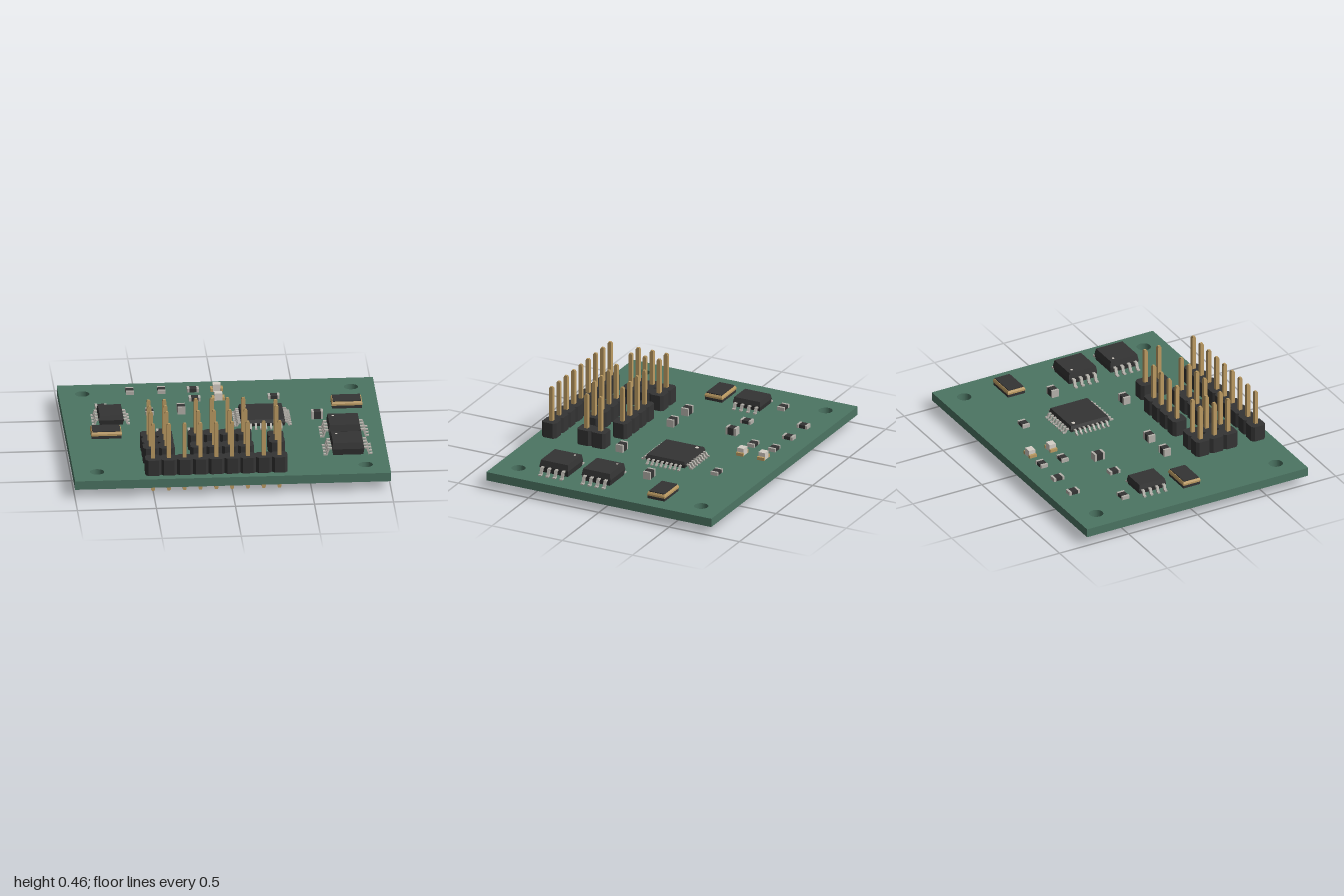
import * as THREE from 'three';
import { mergeGeometries } from 'three/addons/utils/BufferGeometryUtils.js';

const TOP = 0.117; // upper face of the board

const mat = (name, color) => {
  const m = new THREE.MeshStandardMaterial({ color });
  m.name = name;
  return m;
};

export function createModel() {
  const green = mat('board green', 0x4c7563);
  const black = mat('plastic black', 0x343434);
  const gold = mat('contact gold', 0xbd9c63);
  const silver = mat('solder silver', 0xb5b2ab);
  const white = mat('lamp white', 0xd6cfc6);

  const model = new THREE.Group();
  model.name = 'circuitBoard';

  const add = (parent, name, geos, material) => {
    const mesh = new THREE.Mesh(Array.isArray(geos) ? mergeGeometries(geos) : geos, material);
    mesh.name = name;
    parent.add(mesh);
    return mesh;
  };
  const group = (name, x, z, turn = 0) => {
    const g = new THREE.Group();
    g.name = name;
    g.position.set(x, TOP, z);
    g.rotation.y = turn;
    model.add(g);
    return g;
  };
  // Box standing on height y
  const box = (w, h, d, x = 0, y = 0, z = 0) =>
    new THREE.BoxGeometry(w, h, d).translate(x, y + h / 2, z);
  // Rectangular block with a belt, drawn in at its top and bottom
  const tapered = (w, h, d, topInset, bottomInset, y = 0) => {
    const g = new THREE.BoxGeometry(w, h, d, 1, 2, 1);
    const p = g.attributes.position;
    for (let i = 0; i < p.count; i++) {
      const inset = p.getY(i) > 0.001 ? topInset : p.getY(i) < -0.001 ? bottomInset : 0;
      p.setX(i, p.getX(i) - Math.sign(p.getX(i)) * inset);
      p.setZ(i, p.getZ(i) - Math.sign(p.getZ(i)) * inset);
    }
    const flat = g.toNonIndexed().translate(0, y + h / 2, 0);
    flat.computeVertexNormals();
    return flat;
  };

  // Board with four mounting holes
  const outline = new THREE.Shape();
  outline.moveTo(-1, -0.8).lineTo(1, -0.8).lineTo(1, 0.8).lineTo(-1, 0.8).closePath();
  for (const x of [-0.85, 0.85]) for (const z of [-0.65, 0.65]) {
    const hole = new THREE.Path();
    hole.absarc(x, z, 0.045, 0, Math.PI * 2, true);
    outline.holes.push(hole);
  }
  const boardGeo = new THREE.ExtrudeGeometry(outline, { depth: 0.057, bevelEnabled: false, curveSegments: 24 });
  add(model, 'board', boardGeo.rotateX(-Math.PI / 2).translate(0, 0.06, 0), green);

  // Pin headers: one chamfered block and one pin per cell
  const c = 0.05, k = 0.033;
  const cell = new THREE.Shape([[-c, -k], [-k, -c], [k, -c], [c, -k], [c, k], [k, c], [-k, c], [-c, k]]
    .map(([x, y]) => new THREE.Vector2(x, y)));
  const cellGeo = new THREE.ExtrudeGeometry(cell, { depth: 0.103, bevelEnabled: false }).rotateX(-Math.PI / 2);
  const pinGeo = () => {
    const g = new THREE.BoxGeometry(0.025, 0.455, 0.025, 1, 40, 1).translate(0, 0.2275 - TOP, 0);
    const p = g.attributes.position;
    for (let i = 0; i < p.count; i++) {
      const y = p.getY(i) + TOP;
      if (y < 0.001 || y > 0.454) p.setXYZ(i, p.getX(i) * 0.6, p.getY(i), p.getZ(i) * 0.6);
    }
    return g;
  };
  const header = (name, x0, z0, nx, nz) => {
    const g = group(name, x0, z0);
    const cells = [], pins = [];
    for (let i = 0; i < nx; i++) for (let j = 0; j < nz; j++) {
      cells.push(cellGeo.clone().translate(i * 0.1, 0.003, j * 0.1));
      pins.push(pinGeo().translate(i * 0.1, 0, j * 0.1));
    }
    add(g, 'headerBody', cells, black);
    add(g, 'headerPins', pins, gold);
  };
  header('frontHeader', -0.5, 0.7, 9, 1);
  header('doubleHeader', -0.5, 0.3, 2, 3);
  header('middleHeaderBack', -0.2, 0.3, 4, 1);
  header('middleHeaderFront', -0.2, 0.5, 4, 1);
  header('sideHeader', 0.3, 0.35, 1, 2);

  // Bent chip lead pointing along +x, starting at x = 0
  const lead = (reach, rise, width) => {
    const t = 0.009, a = reach * 0.35, b = reach * 0.6;
    const s = new THREE.Shape([[-0.01, rise], [a - t / 2, rise], [b - t / 2, 0], [reach, 0],
      [reach, t], [b + t / 2, t], [a + t / 2, rise + t], [-0.01, rise + t]]
      .map(([x, y]) => new THREE.Vector2(x, y)));
    return new THREE.ExtrudeGeometry(s, { depth: width, bevelEnabled: false }).translate(0, 0, -width / 2);
  };
  const chip = (name, x, z, o) => {
    const g = group(name, x, z);
    add(g, 'chipBody', tapered(o.w, o.h - 0.006, o.d, 0.007, 0.007, 0.006), black);
    const leads = [];
    for (let side = 0; side < 4; side += o.sides === 4 ? 1 : 2) {
      for (let i = 0; i < o.n; i++) {
        leads.push(lead(o.reach, o.rise, o.lw)
          .translate((side % 2 ? o.d : o.w) / 2, 0, (i - (o.n - 1) / 2) * o.pitch)
          .rotateY(side * Math.PI / 2));
      }
    }
    add(g, 'chipLeads', leads, silver);
    if (o.dot) {
      add(g, 'pinOneMark', new THREE.CylinderGeometry(o.dot, o.dot, 0.002, 16)
        .translate(-o.w / 2 + 0.037, o.h + 0.001, -o.d / 2 + 0.04), white);
    }
  };
  chip('processor', 0.25, -0.155, { w: 0.28, d: 0.28, h: 0.05, sides: 4, n: 8, pitch: 0.032, reach: 0.042, rise: 0.02, lw: 0.013, dot: 0.012 });
  const driver = { w: 0.205, d: 0.205, h: 0.087, sides: 2, n: 4, pitch: 0.05, reach: 0.052, rise: 0.04, lw: 0.019, dot: 0.008 };
  chip('driverBack', 0.75, 0.097, driver);
  chip('driverFront', 0.75, 0.397, driver);
  chip('regulator', -0.705, -0.205, { w: 0.16, d: 0.195, h: 0.07, sides: 2, n: 4, pitch: 0.05, reach: 0.04, rise: 0.03, lw: 0.018 });

  // Crystals: dark base, gold rim, dark lid
  for (const [x, z] of [[0.8, -0.353], [-0.75, 0.045]]) {
    const g = group('crystal', x, z);
    add(g, 'crystalBase', box(0.19, 0.021, 0.12), black);
    add(g, 'crystalRim', tapered(0.195, 0.024, 0.125, 0.005, 0, 0.02), gold);
    add(g, 'crystalLid', box(0.178, 0.006, 0.108, 0, 0.044), black);
  }

  // Small two-ended parts: body between a pair of end caps
  const passive = (name, x, z, h, upright, body, ends) => {
    const g = group(name, x, z, upright ? Math.PI / 2 : 0);
    add(g, 'body', box(0.046, h - 0.002, 0.048, 0, 0.001), body);
    add(g, 'endCaps', [-1, 1].map(s => box(0.015, h, 0.05, s * 0.0295)), ends);
  };
  for (const [x, z, upright] of [[-0.55, -0.65, true], [-0.35, -0.65, true], [-0.15, -0.65], [-0.15, -0.5],
    [0.35, -0.5], [-0.75, -0.4], [-0.45, -0.3, true]]) {
    passive('resistor', x, z, 0.024, upright, black, silver);
  }
  for (const [x, z, upright] of [[-0.25, -0.3, true], [0.6, -0.15], [-0.4, 0.1], [-0.2, 0.1], [0.3, 0.2]]) {
    passive('capacitor', x, z, 0.05, upright, black, silver);
  }

  // Indicator lamps: gold-ended base under a pale lens
  for (const z of [-0.65, -0.5]) {
    const g = group('indicatorLamp', 0, z);
    add(g, 'lampBase', box(0.05, 0.02, 0.046), white);
    add(g, 'lampContacts', [-1, 1].map(s => box(0.015, 0.021, 0.05, s * 0.0325)), gold);
    add(g, 'lampLens', box(0.05, 0.028, 0.046, 0, 0.02), white);
  }

  return model;
}
